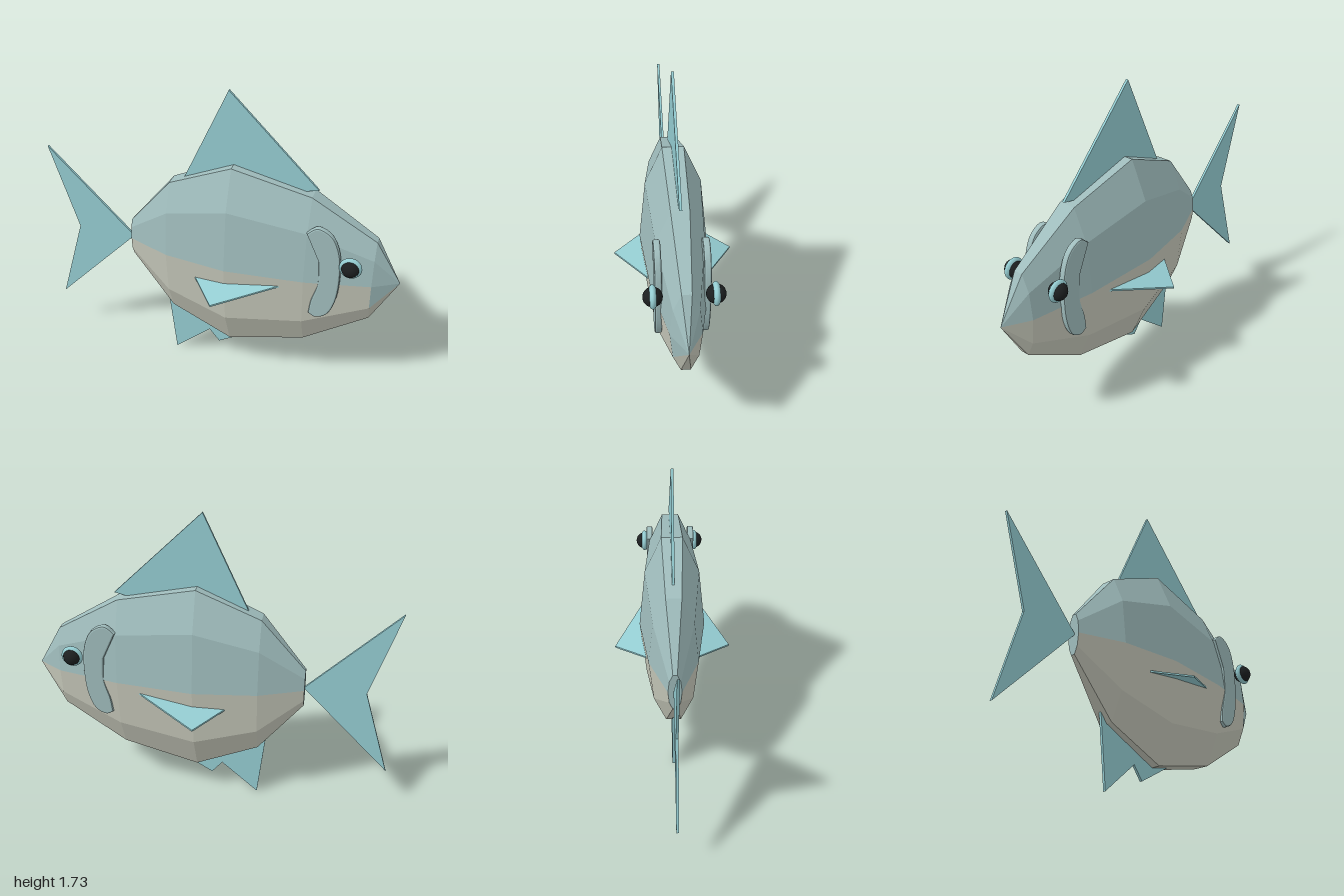
import * as THREE from 'three';

const material = (color, flatShading = true) =>
  new THREE.MeshStandardMaterial({ color, flatShading, side: THREE.DoubleSide });

const MID = 0.76;      // height of the body's axis
const SIDES = 10;      // facets around the body
const WIDTH = 0.31;    // body width relative to its height
// stations along the body: [x, vertical radius]
const STATIONS = [[-0.515, 0.118], [-0.27, 0.431], [0.08, 0.589], [0.51, 0.484], [0.86, 0.258], [1, 0]];

function bodyPoint(i, j) {
  const [x, r] = STATIONS[i];
  const a = (j / SIDES) * Math.PI * 2;
  return [x, MID + r * Math.sin(a), WIDTH * r * Math.cos(a)];
}

// facets of the body chosen by a rule on (station, side)
function bodyGeometry(keep, withCap) {
  const pos = [];
  for (let j = 0; j < SIDES; j++) {
    for (let i = 0; i < STATIONS.length - 1; i++) {
      if (!keep(i, j)) continue;
      const a = bodyPoint(i, j), b = bodyPoint(i + 1, j);
      const c = bodyPoint(i + 1, j + 1), d = bodyPoint(i, j + 1);
      if (i < STATIONS.length - 2) pos.push(...a, ...b, ...c);
      pos.push(...a, ...c, ...d);
    }
    if (withCap) pos.push(STATIONS[0][0], MID, 0, ...bodyPoint(0, j), ...bodyPoint(0, j + 1));
  }
  const g = new THREE.BufferGeometry();
  g.setAttribute('position', new THREE.Float32BufferAttribute(pos, 3));
  g.computeVertexNormals();
  return g;
}

// thin plate centred on z = 0
function plate(points, depth) {
  const shape = new THREE.Shape(points.map(([x, y]) => new THREE.Vector2(x, y)));
  return new THREE.ExtrudeGeometry(shape, { depth, bevelEnabled: false }).translate(0, 0, -depth / 2);
}

export function createModel() {
  const fish = new THREE.Group();
  fish.name = 'fish';
  const blueGrey = material(0x9fbcbc);
  const belly = material(0xc6c8ba);
  const finBlue = material(0x94ccd1);
  const black = material(0x1c1f20, false);

  const add = (name, geometry, mat, parent = fish) => {
    const mesh = new THREE.Mesh(geometry, mat);
    mesh.name = name;
    parent.add(mesh);
    return mesh;
  };

  // body: blue back with one blue snout facet, pale belly
  const isBlue = (i, j) => j < SIDES / 2 || (i === 4 && j === SIDES - 1);
  add('upperBody', bodyGeometry(isBlue, true), blueGrey);
  add('lowerBody', bodyGeometry((i, j) => !isBlue(i, j), false), belly);

  // fins on the centre plane
  add('tailFin', plate([[-1, 1.255], [-0.85, 0.76], [-1, 0.26], [-0.51, 0.76]], 0.014), finBlue);
  add('dorsalFin', plate([[-0.2, 1.19], [0.08, 1.14], [0.45, 1.2], [0.47, 1.23], [0.535, 1.245], [0.05, 1.73]], 0.014), finBlue);
  add('bellyFin', plate([[-0.315, 0.43], [-0.27, 0.003], [-0.06, 0.185], [0, 0.11], [0.2, 0.225], [0.1, 0.4]], 0.014), finBlue);

  // parts that occur on both flanks
  for (const side of [1, -1]) {
    const flank = new THREE.Group();
    flank.name = side > 0 ? 'frontFlank' : 'backFlank';
    flank.scale.z = side;
    fish.add(flank);

    // side fin: flat triangle, sloped along and away from the body
    const fin = plate([[-0.1, 0.14], [0.41, 0.14], [0.05, 0.325]], 0.01).rotateX(Math.PI / 2);
    const p = fin.attributes.position;
    for (let i = 0; i < p.count; i++) {
      p.setY(i, p.getY(i) + 0.665 + 0.116 * (p.getX(i) - 0.05) - 0.28 * (p.getZ(i) - 0.165));
    }
    fin.computeVertexNormals();
    add('sideFin', fin, finBlue, flank);

    // gill cover: bevelled crescent
    const crescent = new THREE.Shape();
    crescent.moveTo(0.52, 1.055);
    crescent.splineThru([[0.57, 1.09], [0.64, 1.05], [0.68, 0.95], [0.69, 0.82], [0.68, 0.68],
      [0.645, 0.58], [0.59, 0.545], [0.555, 0.56]].map(([x, y]) => new THREE.Vector2(x, y)));
    crescent.splineThru([[0.565, 0.64], [0.595, 0.76], [0.59, 0.9]].map(([x, y]) => new THREE.Vector2(x, y)));
    crescent.lineTo(0.52, 1.055);
    const gill = new THREE.ExtrudeGeometry(crescent, {
      depth: 0.018, bevelThickness: 0.009, bevelSize: 0.009, bevelSegments: 2, curveSegments: 16,
    }).translate(0, 0, 0.111);
    add('gillCover', gill, blueGrey, flank);

    // eye: dark ball inside a flat blue lens
    const ball = add('eyeball', new THREE.SphereGeometry(0.049, 20, 14), black, flank);
    const ring = add('eyeRing', new THREE.SphereGeometry(0.06, 24, 14), material(0x94ccd1, false), flank);
    ring.scale.z = 0.42;
    for (const m of [ball, ring]) m.position.set(0.752, 0.907, 0.152);
  }

  return fish;
}
